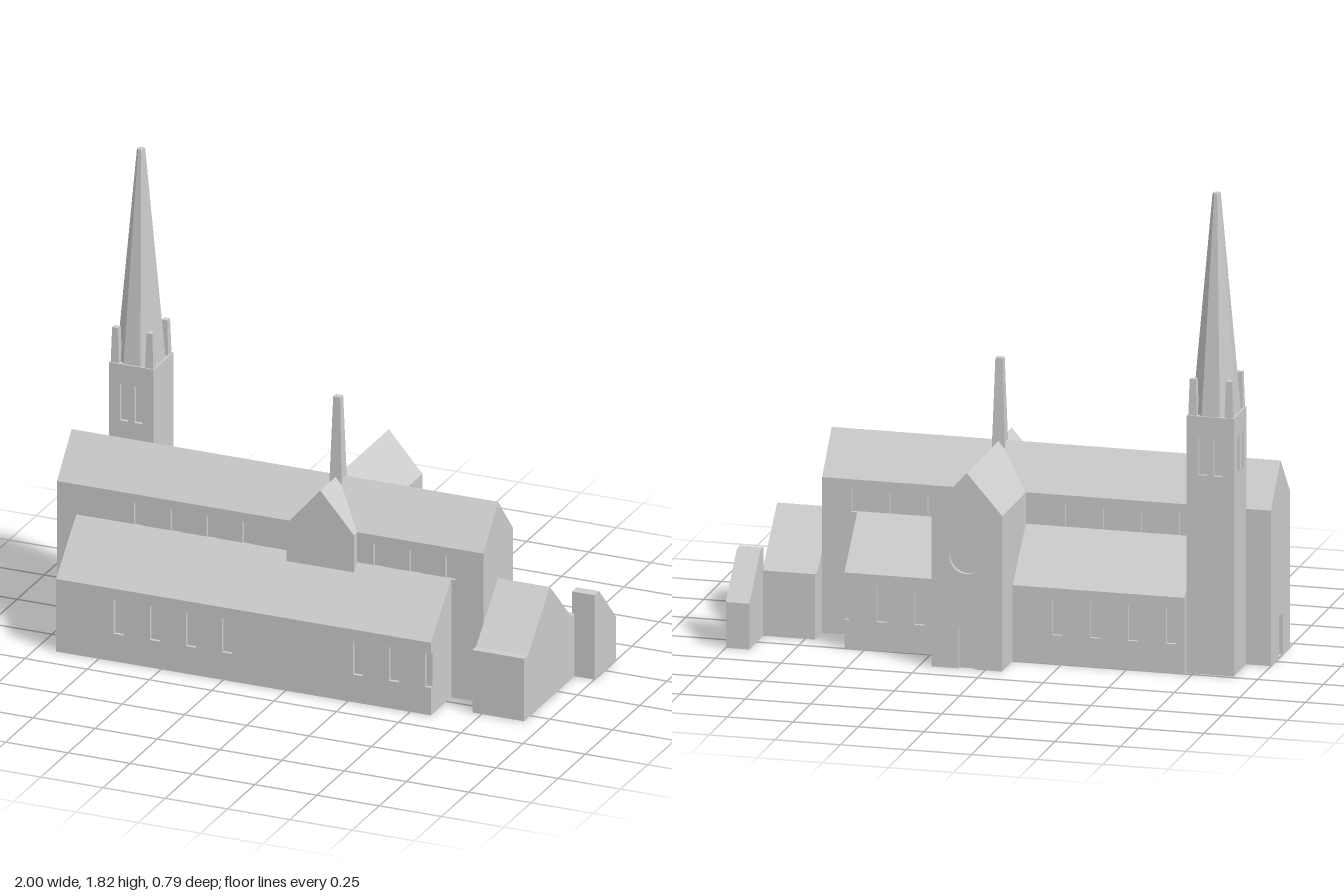
import * as THREE from 'three';

const T = 0.014; // depth of window and door recesses

export function createModel() {
  const model = new THREE.Group();
  model.name = 'church';
  const stone = new THREE.MeshStandardMaterial({ color: 0xcccccc });
  stone.name = 'pale stone';

  const add = (name, geometry, parent = model) => {
    const mesh = new THREE.Mesh(geometry, stone);
    mesh.name = name;
    parent.add(mesh);
    return mesh;
  };
  const part = (name) => {
    const g = new THREE.Group();
    g.name = name;
    model.add(g);
    return g;
  };

  // Extrudes an outline along x (points are [z, y]) or along z (points are [x, y])
  const prism = (axis, pts, from, to, holes = []) => {
    const s = axis === 'x' ? -1 : 1;
    const vec = (list) => list.map(([a, y]) => new THREE.Vector2(a * s, y));
    const shape = new THREE.Shape(vec(pts));
    holes.forEach((h) => shape.holes.push(new THREE.Path(vec(h))));
    const g = new THREE.ExtrudeGeometry(shape, { depth: to - from, bevelEnabled: false, steps: 1 });
    if (axis === 'x') g.rotateY(Math.PI / 2);
    g.translate(axis === 'x' ? from : 0, 0, axis === 'z' ? from : 0);
    return g;
  };
  const rect = (a0, a1, y0, y1) => [[a0, y0], [a1, y0], [a1, y1], [a0, y1]];
  const windows = (centres, w, y0, y1) => centres.map((c) => rect(c - w / 2, c + w / 2, y0, y1));
  const circle = (c, y, r) => Array.from({ length: 32 }, (_, i) => {
    const a = (i / 32) * Math.PI * 2;
    return [c + r * Math.cos(a), y + r * Math.sin(a)];
  });

  // Shared section of nave and transept
  const C = 0.07, HALF = 0.135, EAVE = 0.595, RIDGE = 0.75;
  const rose = circle(C, 0.43, 0.067);
  const gable = [[C - HALF, 0], [C + HALF, 0], [C + HALF, EAVE], [C, RIDGE], [C - HALF, EAVE]];
  const doorGable = [[C - HALF, 0], [C - 0.032, 0], [C - 0.032, 0.16], [C + 0.032, 0.16],
    [C + 0.032, 0], ...gable.slice(1)];
  const bays = [-0.67, -0.525, -0.38, -0.235, 0.29, 0.435, 0.58];

  // Nave: core with full-width roof, pierced skins on the sides and ends
  const nave = part('nave');
  const n0 = -1, n1 = 0.712, i = HALF - T;
  add('naveCore', prism('x', [[C - i, 0], [C + i, 0], [C + i, EAVE], [C + HALF, EAVE],
    [C, RIDGE], [C - HALF, EAVE], [C - i, EAVE]], n0 + T, n1 - T), nave);
  const clerestory = windows(bays, 0.04, 0.47, 0.56);
  for (const [name, z] of [['frontClerestory', C + i], ['backClerestory', C - HALF]]) {
    add(name, prism('z', rect(n0 + T, n1 - T, 0, EAVE), z, z + T, clerestory), nave);
  }
  add('westFront', prism('x', doorGable, n0, n0 + T, [rose]), nave);
  add('eastGable', prism('x', gable, n1 - T, n1, [rose]), nave);

  // Transept crossing the nave at the same height
  const transept = part('transept');
  add('transeptCore', prism('z', gable, -0.396 + T, 0.235), transept);
  add('transeptGable', prism('z', doorGable, -0.396, -0.396 + T, [rose]), transept);

  // Lean-to aisles; the last window is cut open at the east corner
  const aisle = (name, x0, x1, zIn, zOut) => {
    const g = part(name);
    const d = Math.sign(zOut - zIn), zi = zOut - d * T, eave = 0.29;
    add(name + 'Core', prism('x', [[zIn, 0], [zi, 0], [zi, eave], [zOut, eave], [zIn, 0.475]], x0, x1), g);
    const outline = [[x0, 0], [x1, 0], [x1, 0.11], [0.56, 0.11], [0.56, 0.245], [x1, 0.245], [x1, eave], [x0, eave]];
    add(name + 'Wall', prism('z', outline, Math.min(zi, zOut), Math.max(zi, zOut),
      windows(bays.slice(0, 6), 0.04, 0.11, 0.245)), g);
  };
  aisle('frontAisle', -0.922, 0.583, C + HALF, 0.393);
  aisle('backAisle', -0.72, 0.577, C - HALF, -0.247);

  // Bell tower with paired openings on three sides
  const tower = part('bellTower');
  const tx = -0.815, tz = -0.145, h = 0.09, top = 0.985;
  add('towerCore', prism('x', rect(tz - h + T, tz + h - T, 0, top), tx - h + T, tx + h), tower);
  const pair = (c) => windows([c - 0.029, c + 0.029], 0.032, 0.76, 0.905);
  const face = rect(tx - h, tx + h, 0, top);
  add('towerFrontWall', prism('z', face, tz + h - T, tz + h, pair(tx)), tower);
  add('towerBackWall', prism('z', face, tz - h, tz - h + T, pair(tx)), tower);
  add('towerWestWall', prism('x', rect(tz - h + T, tz + h - T, 0, top), tx - h, tx - h + T, pair(tz)), tower);

  // Tapered shaft with flat sides facing the axes; half-widths are measured to the flats
  const spire = (name, sides, rTop, rBase, y0, y1, x, z, parent) => {
    const k = 1 / Math.cos(Math.PI / sides);
    let g = new THREE.CylinderGeometry(rTop * k, rBase * k, y1 - y0, sides).toNonIndexed();
    g.computeVertexNormals();
    g.rotateY(Math.PI / sides);
    g.translate(x, (y0 + y1) / 2, z);
    return add(name, g, parent);
  };
  spire('towerSpire', 8, 0.014, 0.083, top, 1.82, tx, tz, tower);
  for (const sx of [-1, 1]) for (const sz of [-1, 1]) {
    spire('pinnacle', 4, 0.012, 0.016, top, 1.123, tx + sx * 0.069, tz + sz * 0.069, tower);
  }
  spire('crossingSpire', 4, 0.014, 0.027, 0.65, 1.065, C, C, model);

  // East hall with narrow flat ledges beside its roof
  add('eastHall', prism('x', [[-0.163, 0], [0.307, 0], [0.307, 0.25], [0.272, 0.25], [C, 0.445],
    [-0.128, 0.25], [-0.163, 0.25]], n1, 0.92));

  // Small sloping annexe at the back corner
  add('annexe', prism('x', [[-0.355, 0], [-0.157, 0], [-0.157, 0.337], [-0.2, 0.337], [-0.355, 0.175]], 0.91, 1));

  return model;
}
